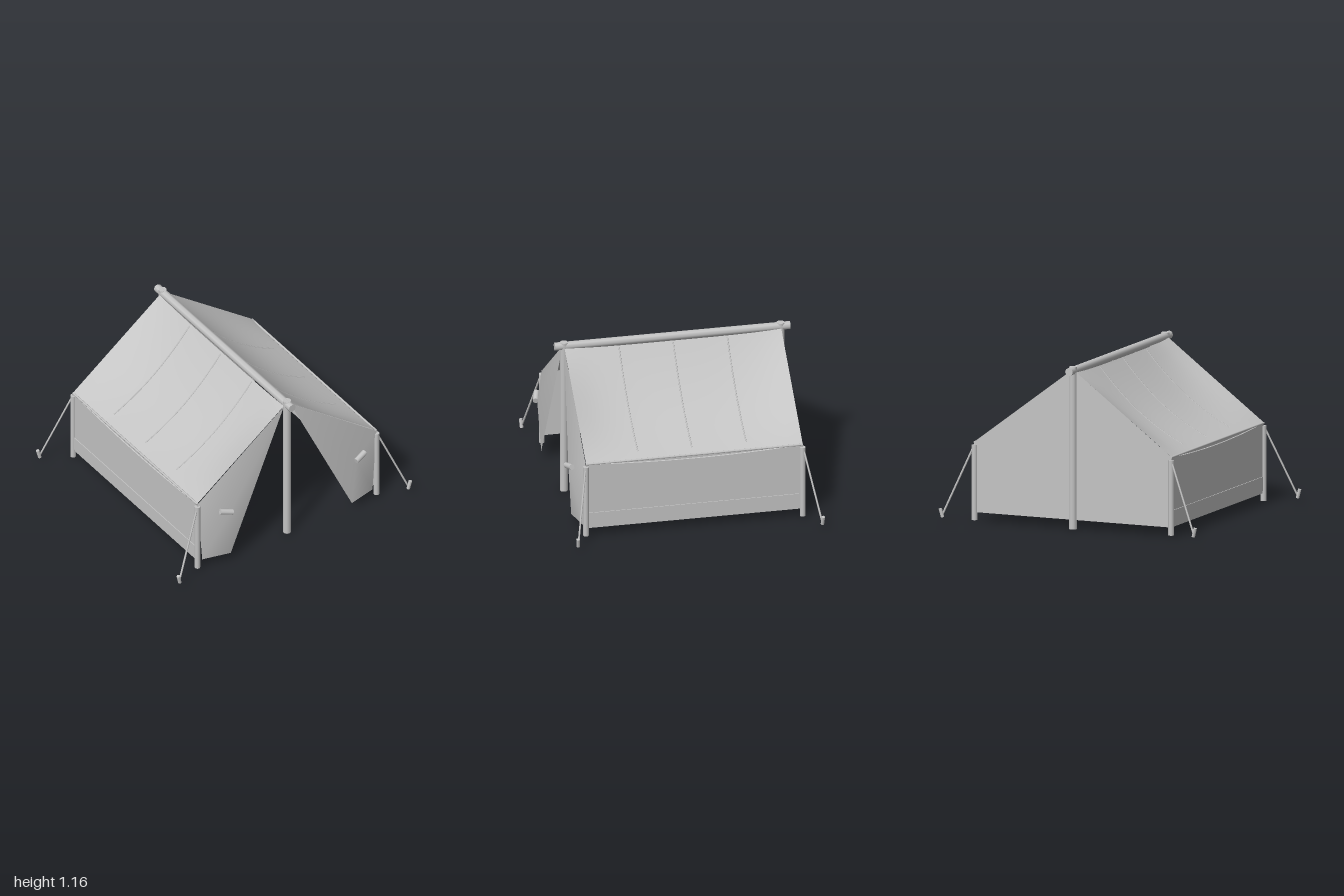
import * as THREE from 'three';

const canvasGrey = new THREE.MeshStandardMaterial({ color: 0xc4c4c4, side: THREE.DoubleSide });
canvasGrey.name = 'canvasGrey';

// The tent body sits slightly to its left between the pegs
const BODY_X = 0.007;

const V = (x, y, z) => new THREE.Vector3(x, y, z);

function add(parent, name, geometry) {
  const mesh = new THREE.Mesh(geometry, canvasGrey);
  mesh.name = name;
  parent.add(mesh);
  return mesh;
}

// Round bar between two points
function bar(parent, name, a, b, radius, sides = 10) {
  const mesh = add(parent, name, new THREE.CylinderGeometry(radius, radius, a.distanceTo(b), sides));
  mesh.position.copy(a).add(b).multiplyScalar(0.5);
  mesh.quaternion.setFromUnitVectors(V(0, 1, 0), b.clone().sub(a).normalize());
}

function box(parent, name, w, h, d, x, y, z) {
  add(parent, name, new THREE.BoxGeometry(w, h, d)).position.set(x, y, z);
}

// Point on one roof slope: t runs from ridge to eave, with sag between the ends
function roofPoint(side, t, z) {
  const e = (z / 0.78) ** 2;
  const belly = 0.08 * Math.sin(Math.PI * t ** 0.88) + 0.015 * (1 - t);
  const sag = belly * (1 - e * e) + 0.028 * t * (1 - e);
  return V(side * (0.026 + 0.742 * t), 1.122 - 0.555 * t - sag, z);
}

function roofSlope(parent, side) {
  const geometry = new THREE.PlaneGeometry(1, 1, 12, 16);
  const p = geometry.attributes.position;
  for (let i = 0; i < p.count; i++) {
    const q = roofPoint(side, p.getX(i) + 0.5, 1.56 * p.getY(i));
    p.setXYZ(i, q.x, q.y, q.z);
  }
  // Keep the faces pointing up on both slopes
  if (side > 0) {
    const index = geometry.index.array;
    for (let i = 0; i < index.length; i += 3) [index[i], index[i + 1]] = [index[i + 1], index[i]];
  }
  geometry.computeVertexNormals();
  add(parent, 'roof', geometry);
}

// Thin raised seam following the sag
function roofSeam(parent, side, z) {
  const points = Array.from({ length: 11 }, (_, i) => roofPoint(side, 0.01 + 0.087 * i, z));
  add(parent, 'roofSeam', new THREE.TubeGeometry(new THREE.CatmullRomCurve3(points), 20, 0.005, 6));
}

// Door flap swept aside and folded at the tie, with softly blended faces
function doorFlap(parent, side) {
  const geometry = new THREE.BufferGeometry().setFromPoints([
    V(side * 0.026, 1.122, 0.782), // apex
    V(side * 0.76, 0.567, 0.782), // eave
    V(side * 0.725, 0.065, 0.785), // foot
    V(side * 0.515, 0.065, 0.835), // hem
    V(side * 0.535, 0.45, 0.86), // tie
  ]);
  geometry.setIndex(side > 0
    ? [0, 4, 1, 4, 2, 1, 4, 3, 2, 0, 3, 4]
    : [0, 1, 4, 4, 1, 2, 4, 2, 3, 0, 4, 3]);
  geometry.computeVertexNormals();
  add(parent, 'doorFlap', geometry);
}

export function createModel() {
  const tent = new THREE.Group();
  tent.name = 'tent';
  const body = new THREE.Group();
  body.name = 'tentBody';
  body.position.x = BODY_X;
  tent.add(body);

  // Ridge and upright poles
  bar(body, 'ridgePole', V(0, 1.132, -0.847), V(0, 1.132, 0.847), 0.03, 8);
  for (const z of [-0.78, 0.78]) {
    bar(body, 'mainPole', V(0, 0, z), V(0, 1.16, z), 0.029, 10);
  }

  // Back wall
  const back = new THREE.Shape();
  back.moveTo(-0.76, 0.065);
  back.lineTo(0.76, 0.065);
  back.lineTo(0.766, 0.567);
  back.lineTo(0.026, 1.122);
  back.lineTo(-0.026, 1.122);
  back.lineTo(-0.766, 0.567);
  add(body, 'backWall', new THREE.ShapeGeometry(back)).position.z = -0.78;

  for (const s of [-1, 1]) {
    const half = new THREE.Group();
    half.name = s > 0 ? 'leftHalf' : 'rightHalf';
    body.add(half);

    // Sagging roof, its seams and the eave rope
    roofSlope(half, s);
    for (const z of [-0.39, 0, 0.39]) roofSeam(half, s, z);
    bar(half, 'eaveRope', V(s * 0.762, 0.566, -0.78), V(s * 0.762, 0.566, 0.78), 0.008, 8);

    // Side wall with skirt on the outside
    box(half, 'sideWall', 0.004, 0.5, 1.56, s * 0.76, 0.315, 0);
    box(half, 'wallSkirt', 0.007, 0.1, 1.53, s * 0.7645, 0.135, 0);

    // Door flap with its toggle
    doorFlap(half, s);
    bar(half, 'doorToggle', V(s * 0.525, 0.457, 0.873), V(s * 0.615, 0.482, 0.849), 0.021);

    // Corner posts, guy ropes and pegs
    for (const e of [-1, 1]) {
      const ground = (x, y, z) => V(s * x - BODY_X, y, e * z);
      bar(half, 'cornerPost', V(s * 0.762, 0.01, e * 0.78), V(s * 0.762, 0.547, e * 0.78), 0.021);
      bar(half, 'guyRope', V(s * 0.77, 0.53, e * 0.785), ground(0.975, 0.045, 0.878), 0.007, 6);
      bar(half, 'peg', ground(0.972, 0.03, 0.879), ground(0.988, 0.093, 0.883), 0.013, 8);
    }
  }
  return tent;
}
